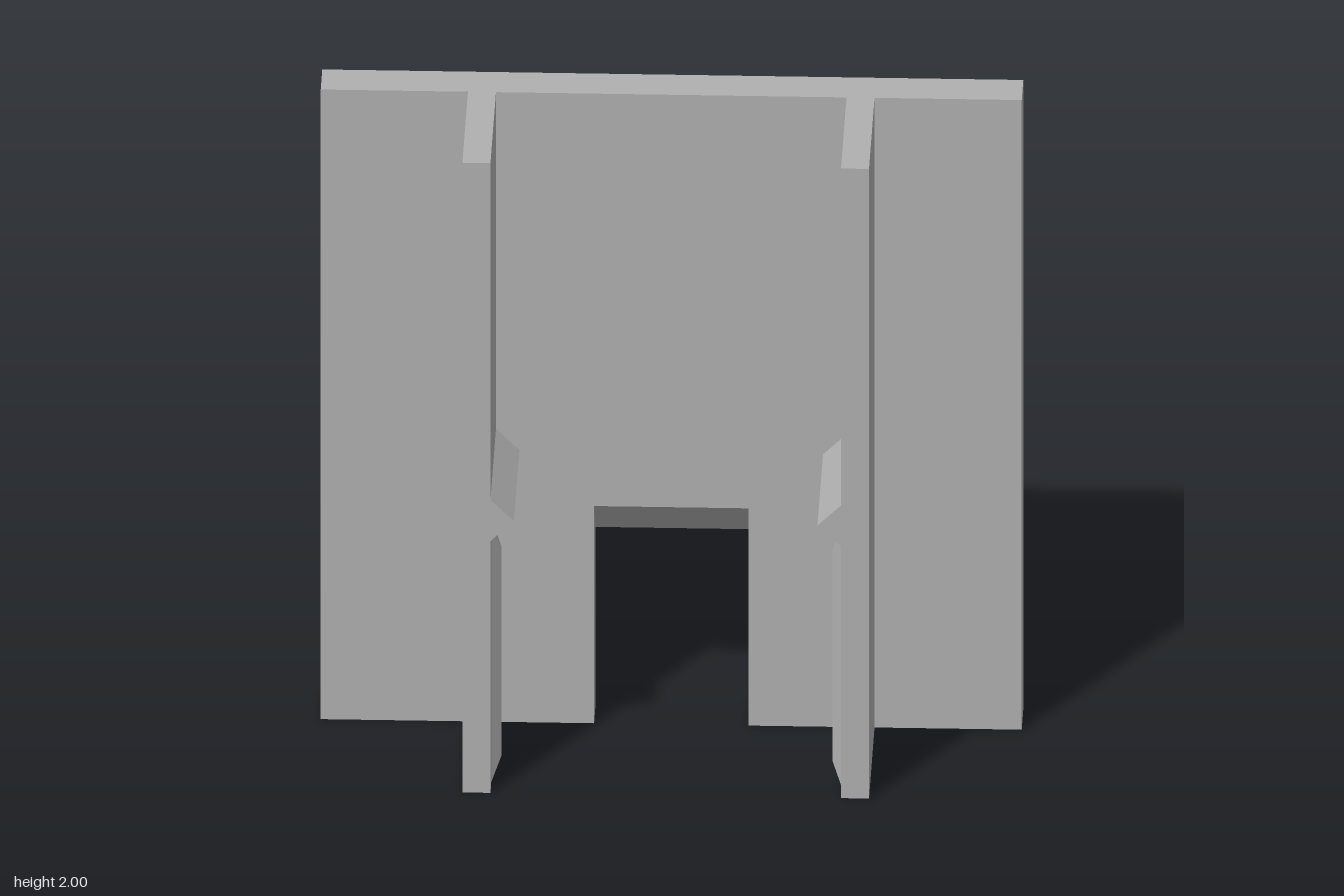
import * as THREE from 'three';
import { ConvexGeometry } from 'three/addons/geometries/ConvexGeometry.js';

const BACK = -0.295, FACE = -0.165, FRONT = 0.295;

// Extrudes an outline in x/y between two depths
function slab(points, z0, z1) {
  const shape = new THREE.Shape(points.map(([x, y]) => new THREE.Vector2(x, y)));
  const geo = new THREE.ExtrudeGeometry(shape, { depth: z1 - z0, bevelEnabled: false });
  return geo.translate(0, 0, z0);
}

export function createModel() {
  const group = new THREE.Group();
  const grey = new THREE.MeshStandardMaterial({ color: 0xb0b0b0 });
  grey.name = 'grey';

  const add = (name, geo) => {
    const mesh = new THREE.Mesh(geo, grey);
    mesh.name = name;
    group.add(mesh);
  };

  // Wall panel with a doorway; the lintel slopes down towards the back
  const wall = slab([
    [-1, 0], [-0.22, 0], [-0.22, 0.69], [0.22, 0.69],
    [0.22, 0], [1, 0], [1, 2], [-1, 2],
  ], BACK, FACE);
  const pos = wall.attributes.position;
  for (let i = 0; i < pos.count; i++) {
    if (Math.abs(pos.getY(i) - 0.69) < 0.01 && pos.getZ(i) < FACE - 0.05) pos.setY(i, 0.56);
  }
  wall.computeVertexNormals();
  add('wallPanel', wall);

  for (const [side, s] of [['left', 1], ['right', -1]]) {
    // Upright fin with a pointed horizontal ledge on its inner face
    add(side + 'Fin', slab([
      [0.58, 0], [0.58, 2], [0.5, 2], [0.5, 0.93],
      [0.433, 0.865], [0.5, 0.8], [0.5, 0],
    ].map(([x, y]) => [s * x, y]), FACE, FRONT));

    // Small hipped vertical rib below the ledge
    const rib = [
      [0.5, 0, 0.225], [0.5, 0, 0.165], [0.5, 0.8, 0.225], [0.5, 0.8, 0.165],
      [0.472, 0.07, 0.195], [0.472, 0.735, 0.195],
    ].map(([x, y, z]) => new THREE.Vector3(s * x, y, z));
    add(side + 'Rib', new ConvexGeometry(rib));
  }
  return group;
}
